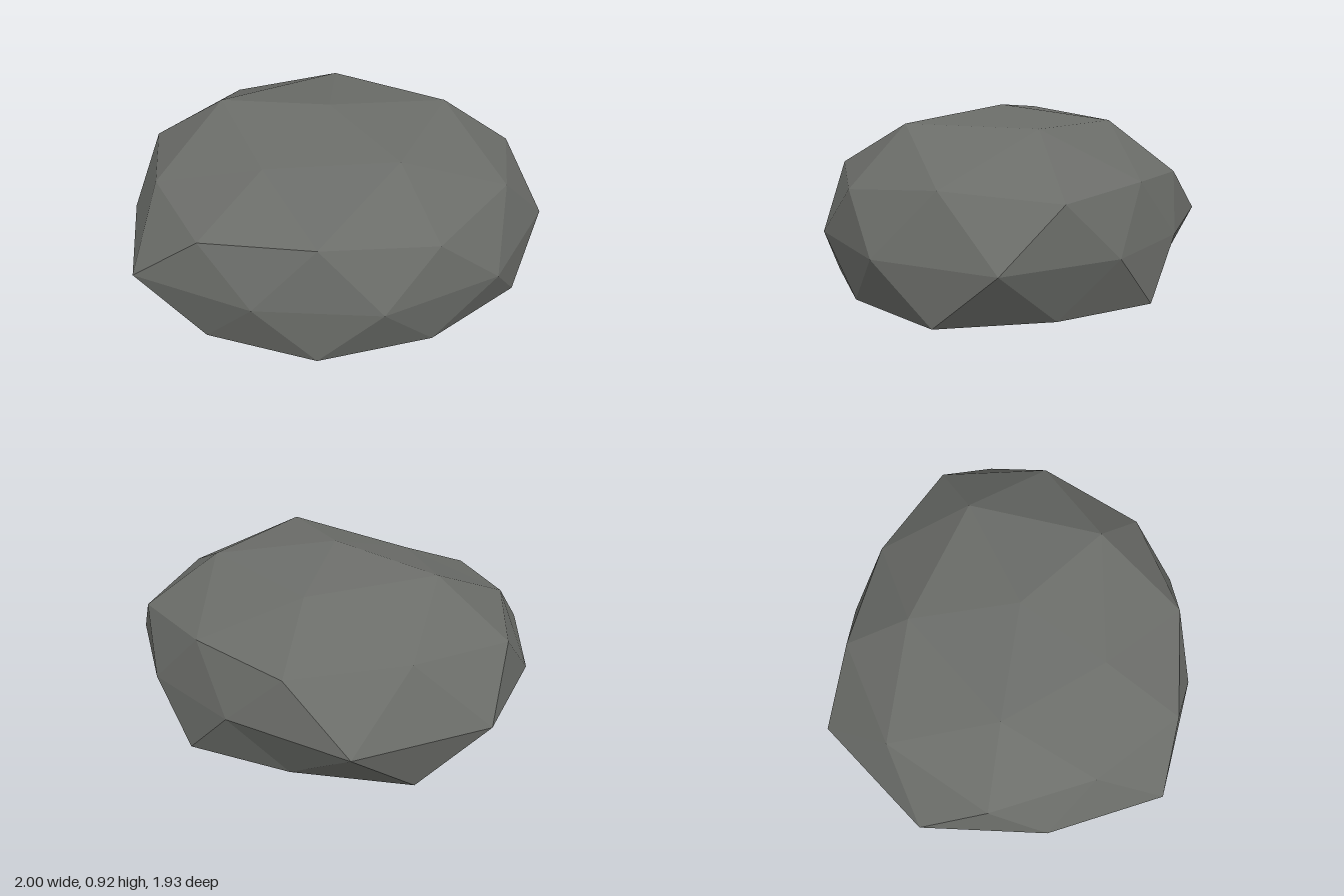
import * as THREE from 'three';

const CENTER_Y = 0.35, CENTER_Z = 0.08;   // the boulder's core
const SCALE_Y = 0.56, SCALE_Z = 0.935;    // squashed height and depth

// A ring of points: lat gives the height and width on the unit sphere
// (alternating between two latitudes), radii push each point in or out.
// A fixed height y replaces the latitude on the flattened underside.
function ring(startDeg, lats, radii, y) {
  return radii.map((r, k) => {
    const a = THREE.MathUtils.degToRad(startDeg + (k * 360) / radii.length);
    const lat = lats[k % lats.length];
    const w = r * Math.sqrt(1 - lat * lat);
    return [
      w * Math.cos(a),
      y === undefined ? CENTER_Y + r * lat * SCALE_Y : y,
      CENTER_Z + w * Math.sin(a) * SCALE_Z,
    ];
  });
}

function boulderGeometry() {
  const top = [0, 0.925, CENTER_Z];
  const bottom = [0, 0.003, CENTER_Z];
  const A = ring(0, [0.8507], [1.1, 1.09, 0.9, 1.075, 1.05]);
  const B = ring(0, [0.4472, 0.5257], [1.04, 1.03, 0.99, 0.98, 1.0, 0.98, 1.05, 1.07, 1.0, 0.96]);
  const C = ring(18, [0], [1.05, 0.985, 0.94, 0.918, 1.05, 0.97, 1.09, 1.12, 0.905, 0.925]);
  const D = ring(0, [0.5257, 0.4472], [0.98, 1.07, 1.02, 0.985, 1.03, 1.0, 1.0, 1.085, 0.96, 0.99], 0.085);
  const E = ring(36, [0.8507], [1.03, 1.05, 1.05, 1.03, 1.0], 0.032);

  const pos = [];
  const tri = (...corners) => corners.forEach((c) => pos.push(...c));
  const at = (list, i) => list[i % list.length];

  // crown and underside: five fans each
  for (let j = 0; j < 5; j++) {
    const a0 = A[j], a1 = at(A, j + 1);
    const b0 = B[2 * j], b1 = B[2 * j + 1], b2 = at(B, 2 * j + 2);
    tri(top, a1, a0);
    tri(a0, b1, b0);
    tri(a0, a1, b1);
    tri(a1, b2, b1);

    const e0 = E[j], e1 = at(E, j + 1);
    const d1 = D[2 * j + 1], d2 = at(D, 2 * j + 2), d3 = at(D, 2 * j + 3);
    tri(d1, d2, e0);
    tri(d2, e1, e0);
    tri(d2, d3, e1);
    tri(e0, e1, bottom);
  }

  // two zigzag bands around the widest ring
  for (let k = 0; k < 10; k++) {
    const b1 = at(B, k + 1), c0 = C[k], c1 = at(C, k + 1), d1 = at(D, k + 1);
    tri(B[k], b1, c0);
    tri(b1, c1, c0);
    tri(c0, c1, d1);
    tri(c0, d1, D[k]);
  }

  const geometry = new THREE.BufferGeometry();
  geometry.setAttribute('position', new THREE.Float32BufferAttribute(pos, 3));
  geometry.computeVertexNormals();
  return geometry;
}

export function createModel() {
  const stone = new THREE.MeshStandardMaterial({ color: 0x6b6d69, flatShading: true });
  stone.name = 'stone grey';

  const boulder = new THREE.Mesh(boulderGeometry(), stone);
  boulder.name = 'boulder';

  const group = new THREE.Group();
  group.name = 'rock';
  group.add(boulder);
  return group;
}
